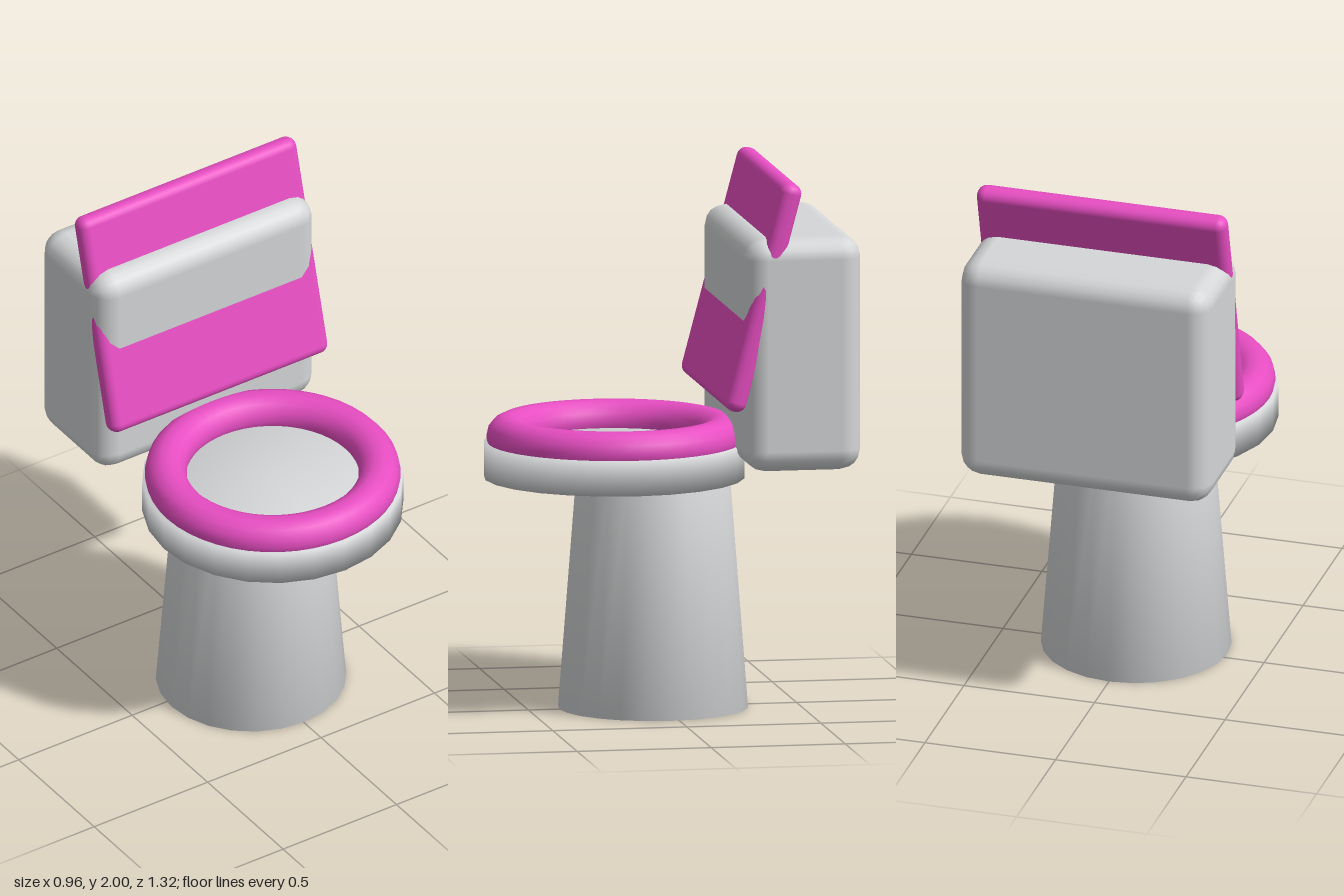
import * as THREE from 'three';
import { mergeVertices } from 'three/addons/utils/BufferGeometryUtils.js';
import { RoundedBoxGeometry } from 'three/addons/geometries/RoundedBoxGeometry.js';

// Weld a geometry so its shading runs smoothly over the rims
function weld(geometry) {
  geometry.deleteAttribute('normal');
  geometry.deleteAttribute('uv');
  const welded = mergeVertices(geometry, 1e-4);
  welded.computeVertexNormals();
  return welded;
}

export function createModel() {
  const model = new THREE.Group();
  const ceramic = new THREE.MeshStandardMaterial({ color: 0xd4d6d7 });
  ceramic.name = 'grey ceramic';
  const pink = new THREE.MeshStandardMaterial({ color: 0xee50c8 });
  pink.name = 'pink plastic';

  function add(name, geometry, material, y, z) {
    const mesh = new THREE.Mesh(geometry, material);
    mesh.name = name;
    mesh.position.set(0, y, z);
    model.add(mesh);
    return mesh;
  }

  // Tapered foot and the wide disc of the bowl
  add('pedestal', weld(new THREE.CylinderGeometry(0.28, 0.35, 0.9, 24)), ceramic, 0.45, 0.035);
  add('bowl', weld(new THREE.CylinderGeometry(0.48, 0.48, 0.13, 24)), ceramic, 0.923, 0.18);

  // Ring seat lying on the bowl
  const seat = new THREE.TorusGeometry(0.393, 0.077, 14, 48).rotateX(-Math.PI / 2);
  add('seat', seat, pink, 1.009, 0.18);

  // Water tank, with the raised lid leaning back into it
  add('tank', new RoundedBoxGeometry(0.962, 0.87, 0.435, 2, 0.08), ceramic, 1.361, -0.447);
  const lid = add('lid', new RoundedBoxGeometry(0.957, 0.868, 0.08, 3, 0.036), pink, 1.577, -0.295);
  lid.rotation.x = -0.26;

  return model;
}
